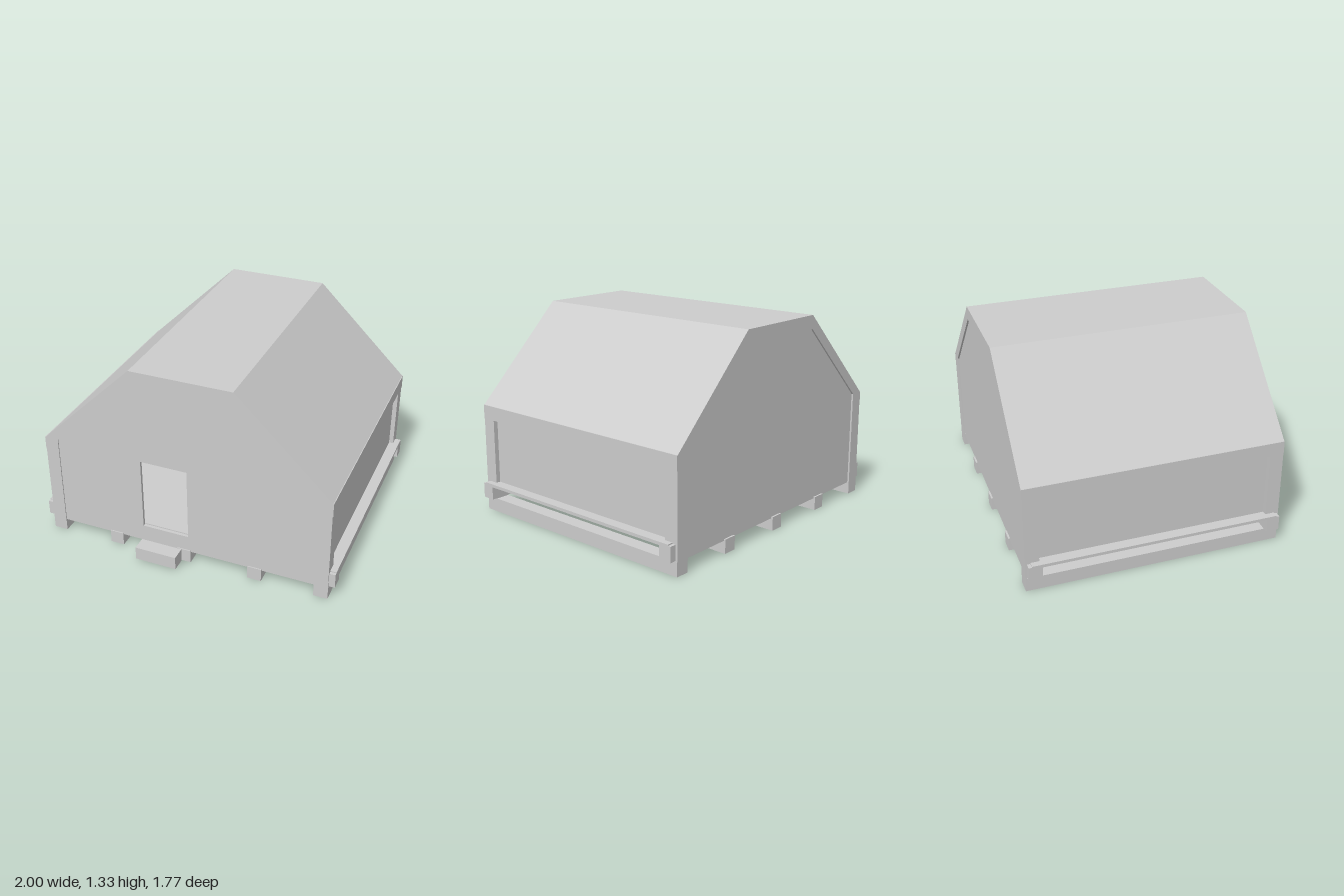
import * as THREE from 'three';

export function createModel() {
  const group = new THREE.Group();
  const grey = new THREE.MeshStandardMaterial({ color: 0xcccccc });
  grey.name = 'plain grey';
  const FRONT = 0.775, BACK = -0.885;

  // Box given by its minimum and maximum corners
  function box(name, x0, x1, y0, y1, z0, z1) {
    const mesh = new THREE.Mesh(new THREE.BoxGeometry(x1 - x0, y1 - y0, z1 - z0), grey);
    mesh.position.set((x0 + x1) / 2, (y0 + y1) / 2, (z0 + z1) / 2);
    mesh.name = name;
    group.add(mesh);
  }

  // Outline in x and y, extruded from z0 to z1
  function slab(name, points, z0, z1, hole) {
    const shape = new THREE.Shape(points.map(([x, y]) => new THREE.Vector2(x, y)));
    if (hole) shape.holes.push(new THREE.Path(hole.map(([x, y]) => new THREE.Vector2(x, y))));
    const geometry = new THREE.ExtrudeGeometry(shape, { depth: z1 - z0, bevelEnabled: false });
    const mesh = new THREE.Mesh(geometry, grey);
    mesh.position.z = z0;
    mesh.name = name;
    group.add(mesh);
  }

  // Roof shell with two slopes and a flat top
  slab('roof', [
    [0.96, 0.715], [0.335, 1.325], [-0.335, 1.325], [-0.96, 0.715],
    [-0.87, 0.715], [-0.335, 1.235], [0.335, 1.235], [0.87, 0.715],
  ], BACK, FRONT);

  // End walls, set slightly behind the frame; the front one has a doorway
  const wall = [
    [-0.87, 0.08], [0.87, 0.08], [0.87, 0.715],
    [0.335, 1.235], [-0.335, 1.235], [-0.87, 0.715],
  ];
  const doorway = [[-0.29, 0.195], [-0.29, 0.69], [0.025, 0.69], [0.025, 0.195]];
  slab('frontWall', wall, FRONT - 0.027, FRONT - 0.007, doorway);
  slab('backWall', wall, BACK + 0.012, BACK + 0.032);

  // Side frames and recessed side walls, mirrored
  for (const s of [-1, 1]) {
    const side = (name, a, b, ...rest) => box(name, Math.min(s * a, s * b), Math.max(s * a, s * b), ...rest);
    side('frontPost', 0.87, 0.96, 0.04, 0.715, FRONT - 0.09, FRONT);
    side('backPost', 0.87, 0.96, 0.04, 0.715, BACK, BACK + 0.09);
    side('eaveBeam', 0.87, 0.963, 0.625, 0.717, BACK, FRONT);
    side('sideWall', 0.9, 0.93, 0.19, 0.7, BACK + 0.05, FRONT - 0.05);
  }

  // Ground beams running front to back
  for (const x of [-0.915, -0.487, -0.005, 0.478, 0.915]) {
    box('groundBeam', x - 0.046, x + 0.046, 0, 0.09, BACK, FRONT);
  }

  // Cross beams whose ends stick out, carrying the floor
  box('frontCrossBeam', -1, 1, 0.095, 0.193, FRONT - 0.095, FRONT - 0.01);
  box('backCrossBeam', -1, 1, 0.095, 0.193, BACK + 0.014, BACK + 0.1);
  box('floor', -1, 1, 0.18, 0.2, BACK + 0.035, FRONT - 0.03);

  // Door step
  box('doorStep', -0.295, -0.015, 0.01, 0.1, 0.79, 0.885);

  return group;
}
